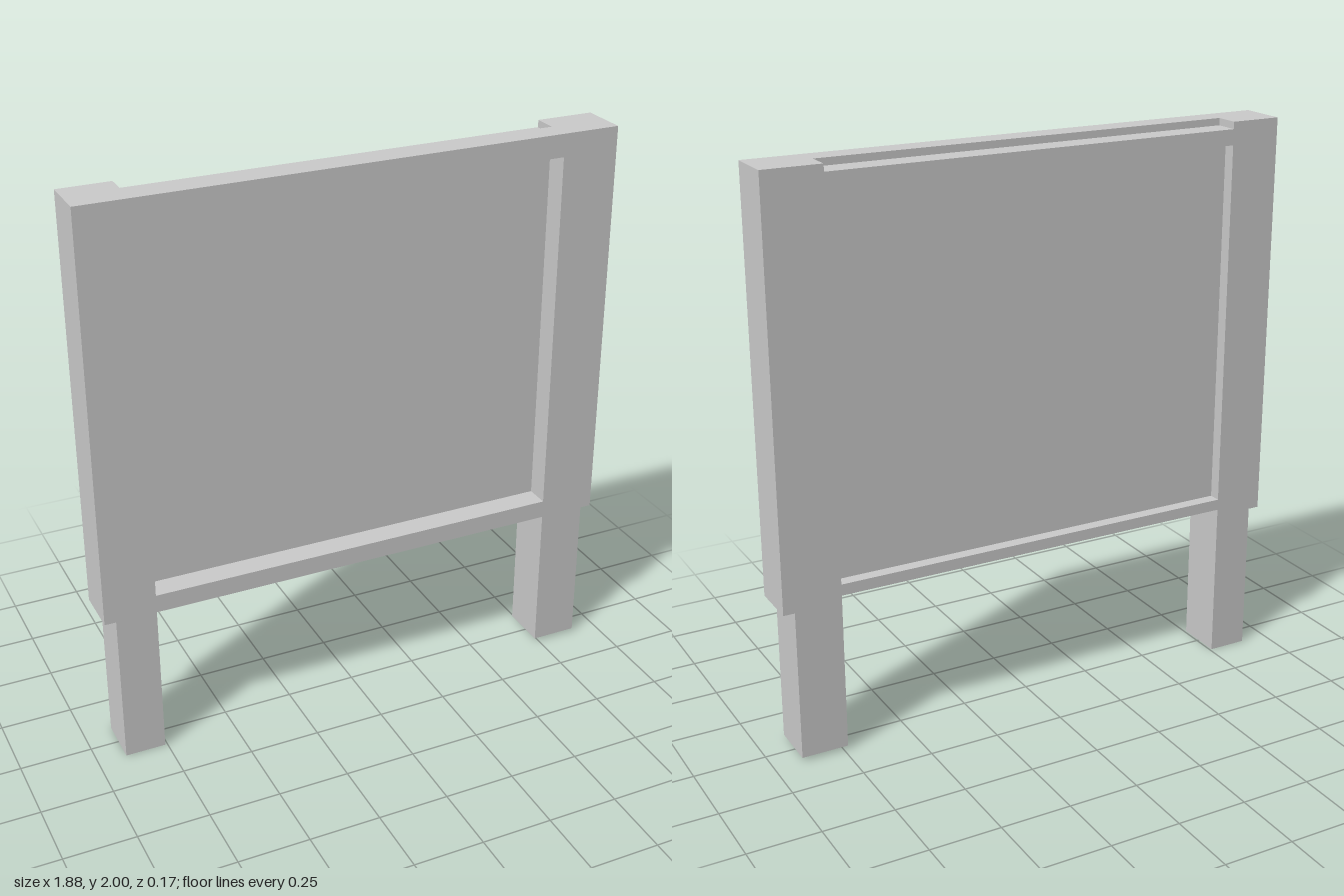
import * as THREE from 'three';

export function createModel() {
  const model = new THREE.Group();
  const material = new THREE.MeshStandardMaterial({ color: 0xcccccc, flatShading: true });

  // Box given by its lower and upper corners
  function box(name, [x0, y0, z0], [x1, y1, z1]) {
    const mesh = new THREE.Mesh(new THREE.BoxGeometry(x1 - x0, y1 - y0, z1 - z0), material);
    mesh.position.set((x0 + x1) / 2, (y0 + y1) / 2, (z0 + z1) / 2);
    mesh.name = name;
    model.add(mesh);
  }

  const halfWidth = 0.94, half = 0.086;      // outer half width and half thickness
  const inL = 0.735, inR = -0.758;           // inner faces of the posts
  const top = 2, bottom = 0.55;              // frame height range
  const openTop = 1.92, openBottom = 0.615;  // window in the frame
  const panelFront = 0, panelBack = -0.042;
  const step = 0.025;                        // rear parts stop short of the front rails

  // Posts with the narrower legs below them
  box('rightPost', [-halfWidth, bottom, -half], [inR, top, half]);
  box('leftPost', [inL, bottom, -half], [halfWidth, top, half]);
  box('rightLeg', [-0.9, 0, -half], [inR, bottom, half]);
  box('leftLeg', [inL, 0.013, -half], [0.9, bottom, half]);

  // Thick rails at the front
  box('frontTopRail', [inR, openTop, panelFront], [inL, top, half]);
  box('frontBottomRail', [inR, bottom, panelFront], [inL, openBottom, half]);

  // Recessed panel and the thin rails behind it
  box('panel', [inR, bottom + step, panelBack], [inL, top - step, panelFront]);
  box('backTopRail', [inR, openTop, -half], [inL, top - step, panelBack]);
  box('backBottomRail', [inR, bottom + step, -half], [inL, openBottom, panelBack]);

  return model;
}
